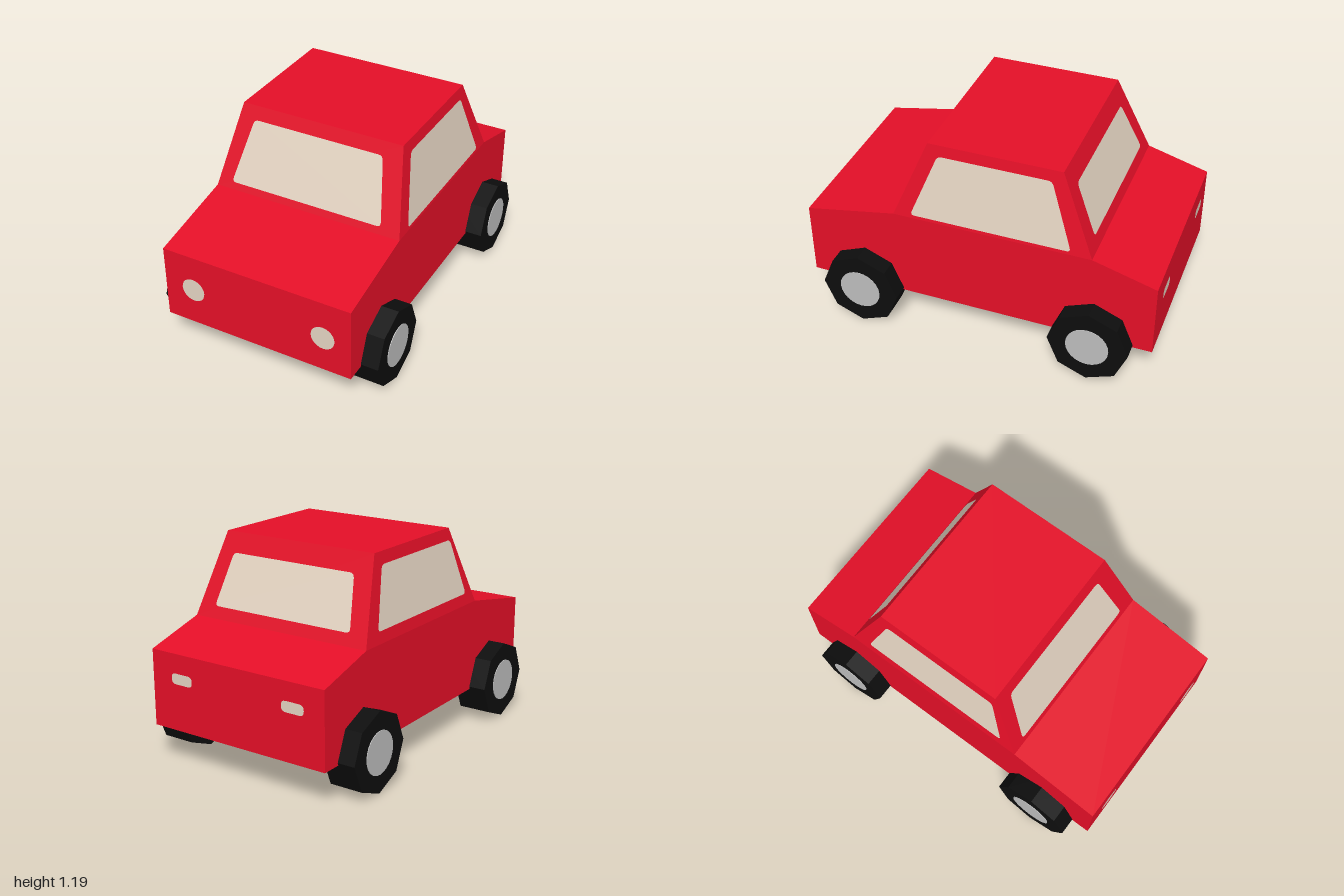
import * as THREE from 'three';

const paint = new THREE.MeshStandardMaterial({ name: 'redPaint', color: 0xe30f27 });
const glass = new THREE.MeshStandardMaterial({ name: 'creamGlass', color: 0xe2d2c0, side: THREE.DoubleSide });
const rubber = new THREE.MeshStandardMaterial({ name: 'blackRubber', color: 0x0d0d0d });
const metal = new THREE.MeshStandardMaterial({ name: 'greyMetal', color: 0xbbbbbb });

// Cabin: half width and front/back z at the sill and at the roof
const SILL = { y: 0.74, x: 0.56, front: 0.475, back: -0.645 };
const ROOF = { y: 1.19, x: 0.48, front: 0.29, back: -0.455 };
const GAP = 0.004;
const at = (key, y) => THREE.MathUtils.mapLinear(y, SILL.y, ROOF.y, SILL[key], ROOF[key]);

function add(parent, name, geometry, material) {
  const mesh = new THREE.Mesh(geometry, material);
  mesh.name = name;
  parent.add(mesh);
  return mesh;
}

// Polygon with rounded corners
function roundedShape(corners, r) {
  const pts = corners.map(([x, y]) => new THREE.Vector2(x, y));
  const shape = new THREE.Shape();
  pts.forEach((p, i) => {
    const toward = (q) => q.clone().sub(p).setLength(r).add(p);
    const a = toward(pts[(i + pts.length - 1) % pts.length]);
    const b = toward(pts[(i + 1) % pts.length]);
    if (i === 0) shape.moveTo(a.x, a.y);
    else shape.lineTo(a.x, a.y);
    shape.quadraticCurveTo(p.x, p.y, b.x, b.y);
  });
  shape.closePath();
  return shape;
}

// Flat pane laid on a sloping face by place(u, y)
function pane(parent, name, corners, place) {
  const geometry = new THREE.ShapeGeometry(roundedShape(corners, 0.025), 4);
  const pos = geometry.attributes.position;
  for (let i = 0; i < pos.count; i++) pos.setXYZ(i, ...place(pos.getX(i), pos.getY(i)));
  geometry.computeVertexNormals();
  add(parent, name, geometry, glass);
}

function createBody() {
  const body = new THREE.Group();
  body.name = 'body';

  // Lower body: side profile extruded across the width
  const profile = [[1, 0.21], [1, 0.64], [SILL.front, SILL.y], [SILL.back, SILL.y], [-1, 0.64], [-1, 0.21]];
  const side = new THREE.Shape(profile.map(([z, y]) => new THREE.Vector2(-z, y)));
  const hull = new THREE.ExtrudeGeometry(side, { depth: 2 * SILL.x, bevelEnabled: false });
  hull.translate(0, 0, -SILL.x).rotateY(Math.PI / 2);
  add(body, 'lowerBody', hull, paint);

  // Cabin: box tapered towards the roof
  const cabin = new THREE.BoxGeometry(1, 1, 1);
  const pos = cabin.attributes.position;
  for (let i = 0; i < pos.count; i++) {
    const end = pos.getY(i) > 0 ? ROOF : SILL;
    pos.setXYZ(i, Math.sign(pos.getX(i)) * end.x, end.y, pos.getZ(i) > 0 ? end.front : end.back);
  }
  cabin.computeVertexNormals();
  add(body, 'cabin', cabin, paint);
  return body;
}

function createWindows() {
  const windows = new THREE.Group();
  windows.name = 'windows';
  pane(windows, 'windscreen', [[-0.47, 0.78], [0.445, 0.78], [0.38, 1.12], [-0.395, 1.12]],
    (u, y) => [u, y, at('front', y) + GAP]);
  pane(windows, 'rearWindow', [[-0.445, 0.805], [0.445, 0.805], [0.4, 1.085], [-0.39, 1.085]],
    (u, y) => [u, y, at('back', y) - GAP]);
  pane(windows, 'leftWindow', [[0.375, 0.76], [-0.53, 0.76], [-0.4, 1.13], [0.23, 1.13]],
    (u, y) => [at('x', y) + GAP, y, u]);
  pane(windows, 'rightWindow', [[0.375, 0.805], [-0.525, 0.805], [-0.41, 1.125], [0.28, 1.125]],
    (u, y) => [-at('x', y) - GAP, y, u]);
  return windows;
}

function createLights() {
  const lights = new THREE.Group();
  lights.name = 'lights';
  for (const [name, x, y] of [['rightHeadlight', -0.383, 0.43], ['leftHeadlight', 0.4, 0.42]]) {
    add(lights, name, new THREE.CircleGeometry(0.069, 24), glass).position.set(x, y, 1 + GAP);
  }
  const w = 0.07, h = 0.03;
  const tail = new THREE.ShapeGeometry(roundedShape([[-w, -h], [w, -h], [w, h], [-w, h]], 0.028), 4);
  tail.rotateY(Math.PI);
  for (const [name, x, y] of [['rightTailLight', -0.368, 0.507], ['leftTailLight', 0.357, 0.503]]) {
    add(lights, name, tail, glass).position.set(x, y, -1 - GAP);
  }
  return lights;
}

// Eight-sided tyre with a disc hub showing on both faces
function createWheel(name) {
  const wheel = new THREE.Group();
  wheel.name = name;
  const tyre = new THREE.CylinderGeometry(0.225, 0.225, 0.19, 8).rotateZ(Math.PI / 2).toNonIndexed();
  tyre.computeVertexNormals();
  add(wheel, 'tyre', tyre, rubber);
  add(wheel, 'hub', new THREE.CylinderGeometry(0.12, 0.12, 0.19 + 2 * GAP, 24).rotateZ(Math.PI / 2), metal);
  return wheel;
}

export function createModel() {
  const car = new THREE.Group();
  car.name = 'car';
  car.add(createBody(), createWindows(), createLights());
  for (const [end, z] of [['front', 0.668], ['rear', -0.668]]) {
    for (const [side, x] of [['Left', 0.565], ['Right', -0.565]]) {
      const wheel = createWheel(`${end}${side}Wheel`);
      wheel.position.set(x, 0.225, z);
      car.add(wheel);
    }
  }
  return car;
}
